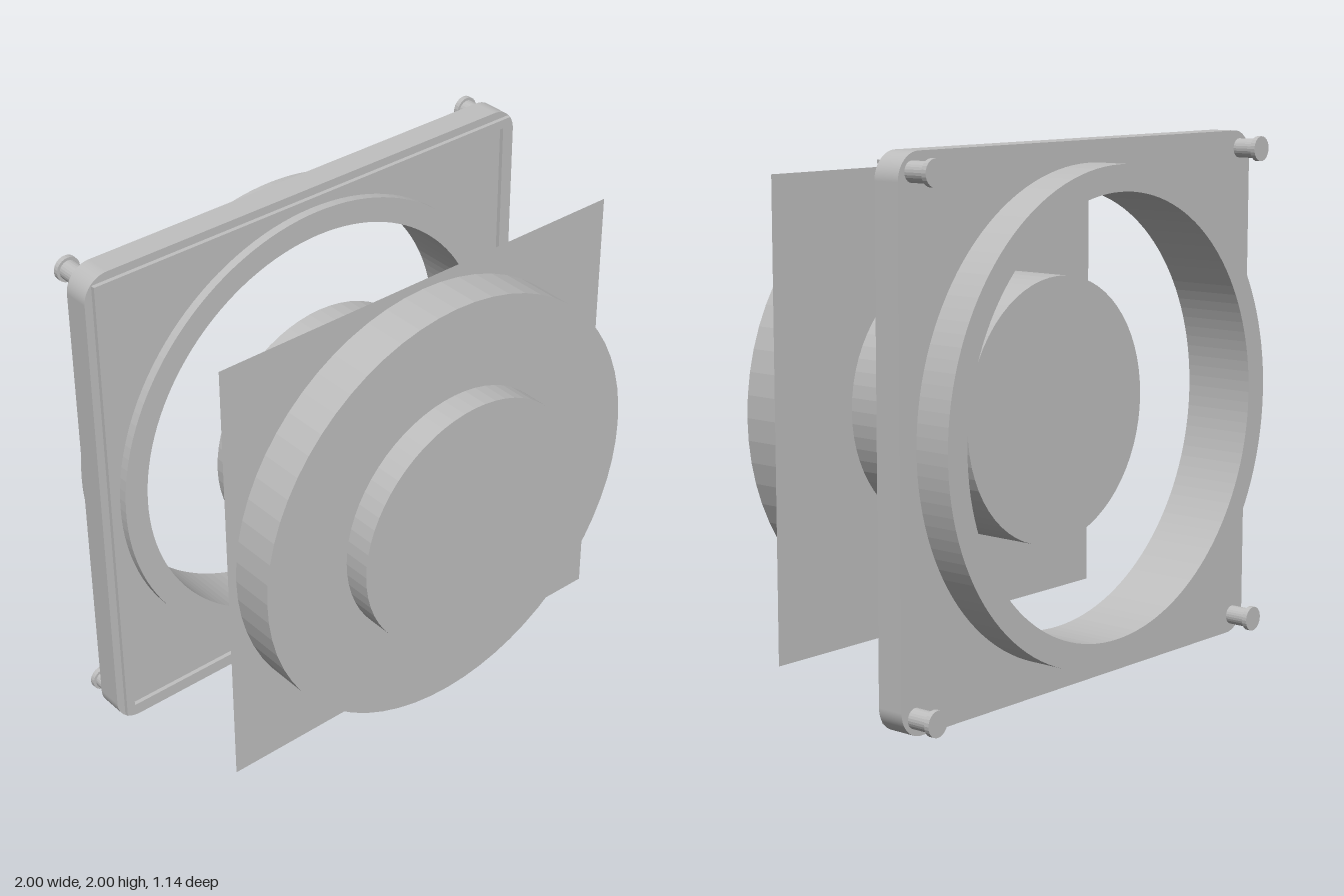
import * as THREE from 'three';

const grey = new THREE.MeshStandardMaterial({ color: 0xc0c0c0, flatShading: true });
grey.name = 'grey';
const sheetGrey = grey.clone();
sheetGrey.name = 'grey sheet';
sheetGrey.side = THREE.DoubleSide;

const SEGMENTS = 64;
const BORE = 0.82;

// Square outline with optional rounded corners
function square(half, r = 0) {
  const s = new THREE.Shape();
  if (!r) {
    return s.moveTo(-half, -half).lineTo(half, -half).lineTo(half, half).lineTo(-half, half).closePath();
  }
  const c = half - r;
  s.absarc(c, c, r, 0, Math.PI / 2);
  s.absarc(-c, c, r, Math.PI / 2, Math.PI);
  s.absarc(-c, -c, r, Math.PI, Math.PI * 1.5);
  s.absarc(c, -c, r, Math.PI * 1.5, Math.PI * 2);
  return s.closePath();
}

function circle(r) {
  return new THREE.Shape().absarc(0, 0, r, 0, Math.PI * 2);
}

export function createModel() {
  const model = new THREE.Group();
  model.name = 'flangedDuctAssembly';

  const add = (name, geometry, material = grey) => {
    const mesh = new THREE.Mesh(geometry, material);
    mesh.name = name;
    model.add(mesh);
    return mesh;
  };

  // Solid of a shape (with an optional hole) between two depths
  const slab = (name, shape, hole, zBack, zFront) => {
    if (hole) shape.holes.push(hole);
    const g = new THREE.ExtrudeGeometry(shape, {
      depth: zFront - zBack, bevelEnabled: false, curveSegments: shape.userSegments ?? SEGMENTS,
    });
    g.translate(0, 1, zBack);
    return add(name, g);
  };

  // Solid round bar along z
  const bar = (name, r, zBack, zFront, x = 0, y = 1, segments = SEGMENTS) => {
    const g = new THREE.CylinderGeometry(r, r, zFront - zBack, segments);
    g.rotateX(Math.PI / 2);
    g.translate(x, y, (zBack + zFront) / 2);
    return add(name, g);
  };

  // Front spool: core, wide flange and the thin sheet on the flange's back
  bar('core', 0.5, -0.287, 0.57);
  bar('flange', 0.857, 0.287, 0.463);
  const sheet = new THREE.PlaneGeometry(1.78, 1.78);
  sheet.translate(0, 1, 0.284);
  add('thinSheet', sheet, sheetGrey);

  // Rear frame: bored plate, raised square bead and round collar
  slab('framePlate', square(1, 0.1), circle(0.87), -0.428, -0.322);
  slab('sealBead', square(0.968), square(0.932), -0.324, -0.305);
  slab('collar', circle(0.918), circle(BORE), -0.57, -0.287);

  // Headed pegs on the frame's back corners
  for (const sx of [-1, 1]) {
    for (const sy of [-1, 1]) {
      const x = sx * 0.932, y = 1 + sy * 0.932;
      bar('pegShaft', 0.037, -0.515, -0.426, x, y, 24);
      bar('pegHead', 0.048, -0.533, -0.513, x, y, 24);
    }
  }
  return model;
}
